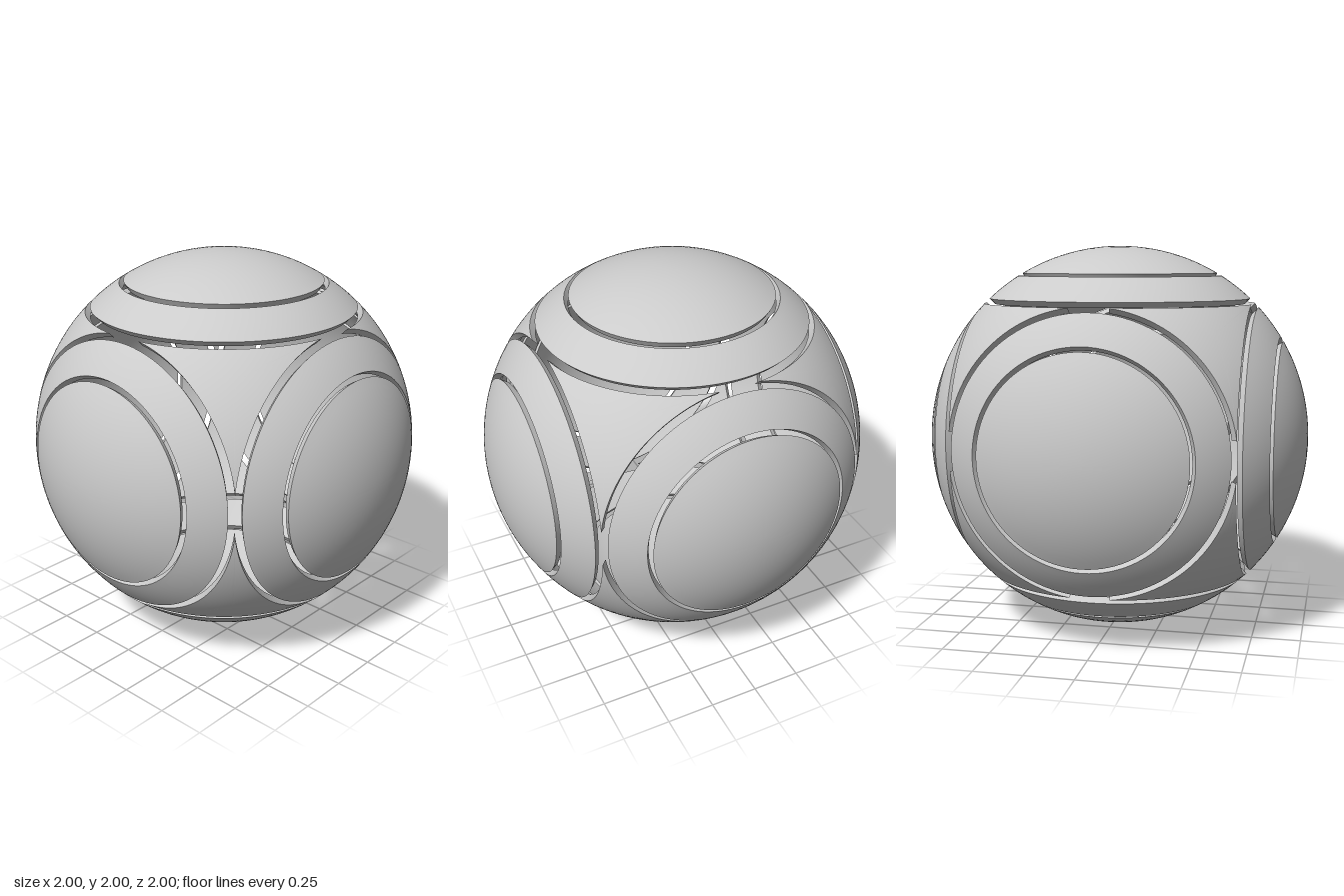
import * as THREE from 'three';
import { toCreasedNormals } from 'three/addons/utils/BufferGeometryUtils.js';

const INNER = 0.963;                 // inner radius of the unit shell
const CAP = Math.asin(0.511);        // cap edge angle
const RING = [Math.asin(0.534), Math.asin(0.684)];
const CORNER_X = 0.7036;             // where the corner panels are cut off

const material = new THREE.MeshStandardMaterial({ color: 0xcccccc });

// Turned slice of the shell between two angles from the +y axis
function shellSlice(from, to, steps) {
  const outer = [], inner = [];
  for (let i = 0; i <= steps; i++) {
    const a = to + (from - to) * i / steps;
    const p = new THREE.Vector2(Math.sin(a), Math.cos(a));
    outer.push(p);
    inner.unshift(p.clone().multiplyScalar(INNER));
  }
  const profile = [...outer, ...inner];
  if (from > 0) profile.push(outer[0].clone());
  else profile.push(outer[0].clone());
  return toCreasedNormals(new THREE.LatheGeometry(profile, 96), 0.5);
}

// Three-pointed panel filling the octant between three rings
function cornerPanel() {
  const r = Math.sqrt(1 - CORNER_X ** 2);
  const t0 = Math.acos(CORNER_X / r);
  const steps = 24, rows = 14;
  const edge = [];
  for (let k = 0; k < 3; k++) {
    for (let i = 0; i < steps; i++) {
      const t = Math.PI / 2 - t0 + (2 * t0 - Math.PI / 2) * i / steps;
      const p = [CORNER_X, r * Math.cos(t), r * Math.sin(t)];
      edge.push(new THREE.Vector3(p[(3 - k) % 3], p[(4 - k) % 3], p[(5 - k) % 3]));
    }
  }
  const middle = new THREE.Vector3(1, 1, 1).normalize();
  const n = edge.length, positions = [], index = [];
  const addRow = (v, radius) => edge.forEach((e) => {
    const p = middle.clone().lerp(e, v).normalize().multiplyScalar(radius);
    positions.push(p.x, p.y, p.z);
  });
  // Loops out over the outer face, across the rim and back along the inner face
  for (let i = 0; i <= rows; i++) addRow(i / rows, 1);
  for (let i = rows; i >= 0; i--) addRow(i / rows, INNER);
  for (let k = 0; k < 2 * rows + 1; k++) {
    for (let j = 0; j < n; j++) {
      const j2 = (j + 1) % n;
      const a = k * n + j, b = a + n, c = (k + 1) * n + j2, d = k * n + j2;
      index.push(a, b, c, a, c, d);
    }
  }
  const geometry = new THREE.BufferGeometry();
  geometry.setAttribute('position', new THREE.Float32BufferAttribute(positions, 3));
  geometry.setIndex(index);
  return toCreasedNormals(geometry, 0.5);
}

export function createModel() {
  const model = new THREE.Group();
  model.name = 'panelledSphere';
  const add = (name, geometry, rx, ry, rz) => {
    const mesh = new THREE.Mesh(geometry, material);
    mesh.name = name;
    mesh.rotation.set(rx, ry, rz);
    mesh.position.y = 1;
    model.add(mesh);
  };
  const H = Math.PI / 2;

  // A round cap and its surrounding ring on each of the six sides
  const cap = shellSlice(0, CAP, 12);
  const ring = shellSlice(RING[0], RING[1], 6);
  const sides = {
    top: [0, 0], bottom: [Math.PI, 0], front: [H, 0],
    back: [-H, 0], left: [0, -H], right: [0, H],
  };
  for (const [side, [rx, rz]] of Object.entries(sides)) {
    add(side + 'Cap', cap, rx, 0, rz);
    add(side + 'Ring', ring, rx, 0, rz);
  }

  // Eight corner panels, four above and four below
  const corner = cornerPanel();
  for (let i = 0; i < 4; i++) {
    add('upperCornerPanel' + (i + 1), corner, 0, i * H, 0);
    add('lowerCornerPanel' + (i + 1), corner, Math.PI, i * H, 0);
  }
  return model;
}
